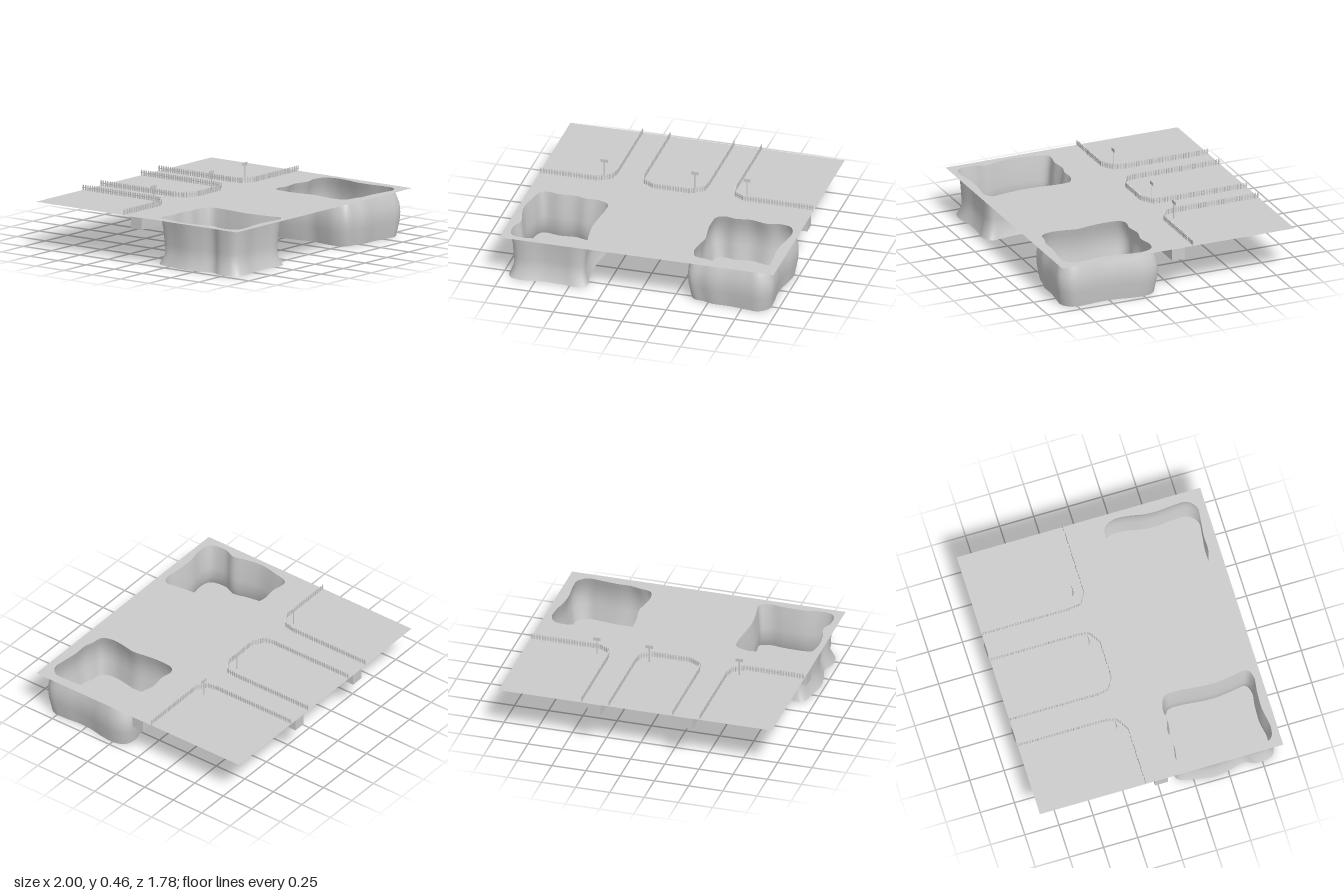
import * as THREE from 'three';
import { mergeGeometries } from 'three/addons/utils/BufferGeometryUtils.js';

const GROUND = 0.332;
const grey = new THREE.MeshStandardMaterial({ color: 0xcccccc, side: THREE.DoubleSide });

function addMesh(parent, name, geometry) {
  const mesh = new THREE.Mesh(geometry, grey);
  mesh.name = name;
  parent.add(mesh);
  return mesh;
}

// Flat outlines are written as [x, z]; shapes are laid down with y = -z
const toPlan = (pts) => pts.map(([x, z]) => new THREE.Vector2(x, -z));

// Smooth closed outline through a few points
function smoothOutline(pts, count = 96) {
  const curve = new THREE.CatmullRomCurve3(
    pts.map(([x, z]) => new THREE.Vector3(x, 0, z)), true, 'centripetal');
  return curve.getSpacedPoints(count).slice(0, count).map((p) => [p.x, p.z]);
}

// Grow an outline about the middle of its bounds by a distance d
function grow(outline, d) {
  const box = new THREE.Box2().setFromPoints(outline.map((p) => new THREE.Vector2(...p)));
  const c = box.getCenter(new THREE.Vector2());
  const s = box.getSize(new THREE.Vector2()).multiplyScalar(0.5);
  return outline.map(([x, z]) => [
    c.x + (x - c.x) * (1 + d / s.x),
    c.y + (z - c.y) * (1 + d / s.y),
  ]);
}

// Pit wall lofted through levels of [y, growth]
function pitWall(outline, levels) {
  const n = outline.length;
  const pos = [];
  const index = [];
  levels.forEach(([y, d], row) => {
    grow(outline, d).forEach(([x, z], i) => {
      pos.push(x, y, z);
      if (row === 0) return;
      const j = (i + 1) % n;
      const a = (row - 1) * n;
      const b = row * n;
      index.push(a + i, a + j, b + i, a + j, b + j, b + i);
    });
  });
  const g = new THREE.BufferGeometry();
  g.setAttribute('position', new THREE.Float32BufferAttribute(pos, 3));
  g.setIndex(index);
  g.computeVertexNormals();
  return g;
}

// Pickets and a rail following a plan path
function fenceGeometry(path) {
  const pitch = 0.02;
  const parts = [];
  const profile = [[-0.005, 0], [0.005, 0], [0.005, 0.036], [0, 0.043], [-0.005, 0.036]];
  const picket = new THREE.ExtrudeGeometry(
    new THREE.Shape(profile.map((p) => new THREE.Vector2(...p))),
    { depth: 0.004, bevelEnabled: false }).translate(0, 0, -0.002);
  for (let i = 0; i < path.length - 1; i++) {
    const [x0, z0] = path[i];
    const [x1, z1] = path[i + 1];
    const length = Math.hypot(x1 - x0, z1 - z0);
    const turn = -Math.atan2(z1 - z0, x1 - x0);
    const count = Math.max(1, Math.round(length / pitch));
    for (let k = 0; k < count; k++) {
      const t = (k + 0.5) / count;
      parts.push(picket.clone().rotateY(turn)
        .translate(x0 + (x1 - x0) * t, GROUND, z0 + (z1 - z0) * t));
    }
    const rail = new THREE.BoxGeometry(length, 0.006, 0.003).toNonIndexed();
    parts.push(rail.rotateY(turn).translate((x0 + x1) / 2, GROUND + 0.02, (z0 + z1) / 2));
  }
  return mergeGeometries(parts);
}

export function createModel() {
  const model = new THREE.Group();

  // Two pits: one waisted with a flared foot, one bulging
  const pits = [
    {
      name: 'rightPit',
      outline: smoothOutline([
        [-0.9, 0.145], [-0.77, 0.155], [-0.66, 0.145], [-0.58, 0.165], [-0.5, 0.16],
        [-0.41, 0.2], [-0.4, 0.29], [-0.41, 0.4], [-0.42, 0.56], [-0.405, 0.7],
        [-0.395, 0.81], [-0.46, 0.84], [-0.56, 0.83], [-0.7, 0.825], [-0.85, 0.845],
        [-0.93, 0.82], [-0.95, 0.7], [-0.92, 0.62], [-0.945, 0.51], [-0.96, 0.4], [-0.94, 0.27],
      ]),
      levels: [[GROUND, 0], [0.24, -0.012], [0.15, -0.018], [0.075, -0.02], [0, 0.01]],
    },
    {
      name: 'leftPit',
      outline: smoothOutline([
        [0.38, 0.17], [0.43, 0.145], [0.51, 0.16], [0.62, 0.145], [0.74, 0.17], [0.83, 0.15],
        [0.915, 0.17], [0.95, 0.24], [0.945, 0.35], [0.925, 0.455], [0.92, 0.56], [0.93, 0.67],
        [0.925, 0.775], [0.86, 0.83], [0.78, 0.825], [0.65, 0.81], [0.54, 0.81], [0.47, 0.79],
        [0.395, 0.775], [0.365, 0.695], [0.375, 0.59], [0.39, 0.5], [0.375, 0.4], [0.365, 0.29],
      ]),
      levels: [[GROUND, 0], [0.29, 0.014], [0.23, 0.032], [0.17, 0.036], [0.11, 0.032], [0, 0.012]],
    },
  ];

  // Ground sheet with a hole over each pit
  const sheet = new THREE.Shape(toPlan([[-1, 0.89], [1, 0.89], [1, -0.89], [-1, -0.89]]));
  for (const pit of pits) sheet.holes.push(new THREE.Path(toPlan(pit.outline)));
  addMesh(model, 'ground', new THREE.ShapeGeometry(sheet).rotateX(-Math.PI / 2))
    .position.y = GROUND;

  for (const { name, outline, levels } of pits) {
    const group = new THREE.Group();
    group.name = name;
    addMesh(group, 'pitWall', pitWall(outline, levels));
    const foot = grow(outline, levels[levels.length - 1][1]);
    addMesh(group, 'pitFloor',
      new THREE.ShapeGeometry(new THREE.Shape(toPlan(foot))).rotateX(-Math.PI / 2));
    model.add(group);
  }

  // Path bed under the ground: a cross run with two branches to the back
  const half = 0.048;
  const fillet = 0.035;
  const bed = new THREE.Shape();
  bed.moveTo(-1, -half);
  bed.lineTo(1, -half);
  bed.lineTo(1, half);
  for (const x of [0.3, -0.37]) {
    bed.lineTo(x + half + fillet, half);
    bed.quadraticCurveTo(x + half, half, x + half, half + fillet);
    bed.lineTo(x + half, 0.89);
    bed.lineTo(x - half, 0.89);
    bed.lineTo(x - half, half + fillet);
    bed.quadraticCurveTo(x - half, half, x - half - fillet, half);
  }
  bed.lineTo(-1, half);
  addMesh(model, 'pathBed',
    new THREE.ExtrudeGeometry(bed, { depth: 0.083, bevelEnabled: false, curveSegments: 6 })
      .rotateX(-Math.PI / 2)).position.y = 0.247;

  // Picket fences around the three plots
  const fences = {
    rightFence: [[-1, -0.115], [-0.575, -0.115], [-0.488, -0.17], [-0.47, -0.25], [-0.47, -0.89]],
    middleFence: [[-0.27, -0.89], [-0.27, -0.23], [-0.255, -0.165], [-0.17, -0.115],
      [0.1, -0.115], [0.185, -0.17], [0.195, -0.25], [0.195, -0.89]],
    leftFence: [[0.395, -0.89], [0.395, -0.24], [0.408, -0.165], [0.49, -0.115], [1, -0.115]],
  };
  for (const [name, path] of Object.entries(fences)) addMesh(model, name, fenceGeometry(path));

  // Signposts
  for (const x of [-0.55, 0.108, 0.49]) {
    const sign = new THREE.Group();
    sign.name = 'signpost';
    addMesh(sign, 'post', new THREE.BoxGeometry(0.008, 0.115, 0.004)).position.y = 0.0575;
    addMesh(sign, 'signBoard', new THREE.BoxGeometry(0.052, 0.024, 0.005)).position.y = 0.12;
    sign.position.set(x, GROUND, -0.195);
    model.add(sign);
  }
  return model;
}
